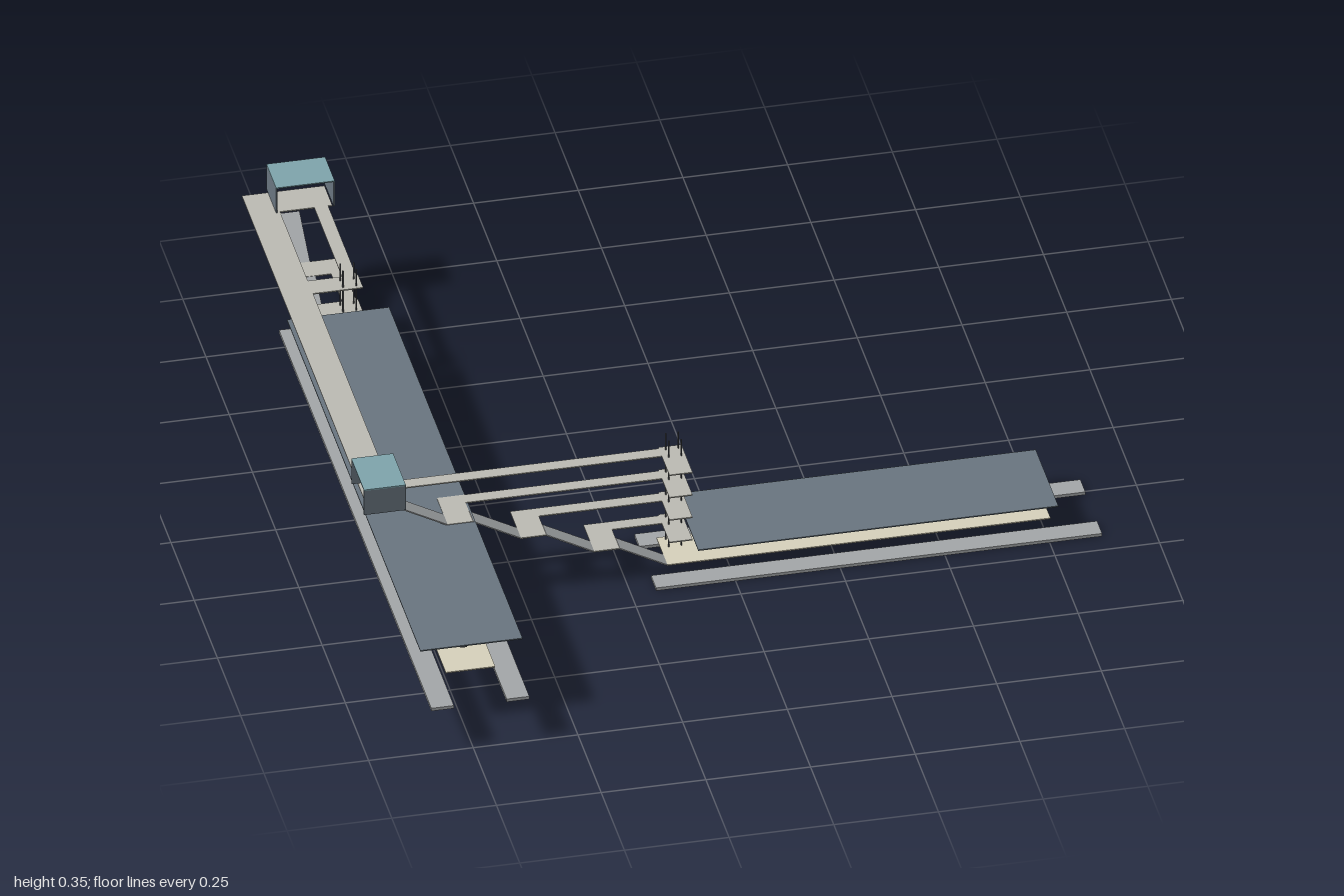
import * as THREE from 'three';

const mat = (color) => new THREE.MeshStandardMaterial({ color, flatShading: true, side: THREE.DoubleSide });
const slate = mat(0x6a7680), teal = mat(0x7fa5ad), beige = mat(0xbdbcb4);
const grey = mat(0xa4a7a9), cream = mat(0xd8d3bd), dark = mat(0x55585c);
const T = 0.003; // sheet thickness

// Box given by its lower and upper corners
function box(parent, name, m, x0, x1, y0, y1, z0, z1) {
  const mesh = new THREE.Mesh(new THREE.BoxGeometry(x1 - x0, y1 - y0, z1 - z0), m);
  mesh.position.set((x0 + x1) / 2, (y0 + y1) / 2, (z0 + z1) / 2);
  mesh.name = name;
  parent.add(mesh);
  return mesh;
}

// Thin horizontal sheet whose top is at y
const sheet = (parent, name, m, x0, x1, y, z0, z1) => box(parent, name, m, x0, x1, y - T, y, z0, z1);

// One station: platform runs along +x from the foot of the stairs, stairs climb towards -x
function station({ length, columns, flights, rise, topReach }) {
  const g = new THREE.Group();
  const pitch = 0.175, ramp = 0.114;

  sheet(g, 'platform', cream, 0, length, 0, -0.058, 0.06);
  sheet(g, 'platformRoof', slate, 0.06, length + 0.005, 0.073, -0.122, 0.122);
  for (const z of [-0.088, 0.092]) {
    box(g, 'track', grey, -0.04, length + 0.11, -0.029, -0.021, z - 0.027, z + 0.027);
  }

  // Roof columns, each with a bench beside it
  for (let i = 0; i < columns; i++) {
    const x = 0.207 + i * 0.23;
    box(g, 'roofColumn', dark, x - 0.002, x + 0.002, 0, 0.07, -0.002, 0.002);
    box(g, 'bench', dark, x + 0.022, x + 0.055, 0.011, 0.014, -0.008, 0.008);
  }

  // Stair flights, landings and the walkways leading to the lift
  for (let i = 0; i < flights; i++) {
    const x = -i * pitch, y = i * rise, top = y + rise;
    const last = i === flights - 1;
    const flight = box(g, 'stairFlight', grey, -Math.hypot(ramp, rise) / 2, Math.hypot(ramp, rise) / 2, -T, 0, 0.015, 0.06);
    flight.position.x = x - ramp / 2;
    flight.position.y = y + rise / 2 - T / 2;
    flight.rotation.z = -Math.atan2(rise, ramp);
    if (!last) sheet(g, 'landing', beige, x - pitch, x - ramp, top, -0.025, 0.06);
    sheet(g, 'walkway', beige, last ? topReach : x - pitch, 0.005, top, -0.055, -0.022);
    sheet(g, 'liftLanding', beige, 0.005, 0.06, top, -0.06, 0.06);
  }

  // Lift corner posts
  for (const x of [0.02, 0.05]) {
    for (const z of [-0.046, -0.014]) {
      box(g, 'liftPost', dark, x - 0.0015, x + 0.0015, 0, flights * rise + 0.046, z - 0.0015, z + 0.0015);
    }
  }
  return g;
}

// Shelter open at both x ends: roof and two side walls, centred on the origin
function shelter(name, lengthX, widthZ) {
  const g = new THREE.Group();
  g.name = name;
  const a = lengthX / 2, b = widthZ / 2, h = 0.07;
  box(g, 'shelterRoof', teal, -a, a, h - T, h, -b, b);
  box(g, 'shelterWall', slate, -a, a, 0, h - T, b - T, b);
  box(g, 'shelterWall', slate, -a, a, 0, h - T, -b, -b + T);
  return g;
}

export function createModel() {
  const model = new THREE.Group();

  const lower = station({ length: 0.915, columns: 3, flights: 4, rise: 0.0625, topReach: -0.64 });
  lower.name = 'lowerStation';
  lower.position.set(-0.15, 0.03, 0.325);

  const upper = station({ length: 1.49, columns: 6, flights: 2, rise: 0.0685, topReach: -0.3 });
  upper.name = 'upperStation';
  upper.position.set(-0.73, 0.143, -0.605);
  upper.rotation.y = -Math.PI / 2;
  // Sign hanging beneath the upper roof
  box(upper, 'hangingSign', dark, 0.48, 0.535, 0.052, 0.058, -0.015, 0.015);

  // Footbridge joining the two stair heads
  sheet(model, 'footbridge', beige, -0.862, -0.79, 0.28, -0.985, 0.39);
  sheet(model, 'bridgeEnd', beige, -0.79, -0.665, 0.28, -0.985, -0.9);

  const front = shelter('frontShelter', 0.1, 0.137);
  front.position.set(-0.827, 0.28, 0.328);
  const back = shelter('backShelter', 0.104, 0.14);
  back.position.set(-0.73, 0.28, -0.948);
  back.rotation.y = Math.PI / 2;

  model.add(lower, upper, front, back);
  return model;
}
